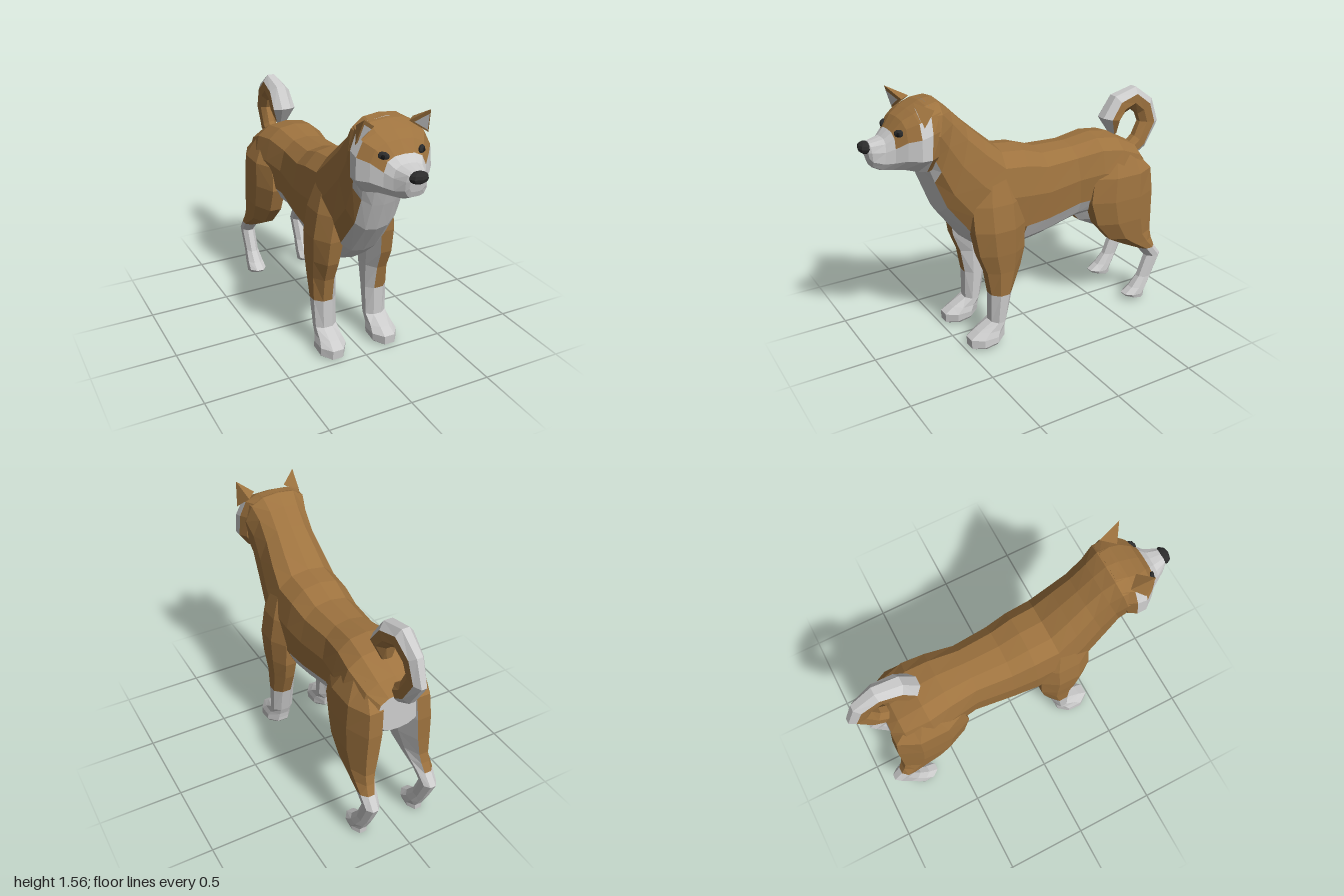
import * as THREE from 'three';

const mat = (color) => new THREE.MeshStandardMaterial({ color, flatShading: true, side: THREE.DoubleSide });
const FUR = mat(0x9e733f), PALE = mat(0xcccccc), DARK = mat(0x2c2c2c), BLACK = mat(0x161616);

function meshFrom(tris, material, name) {
  const g = new THREE.BufferGeometry();
  g.setAttribute('position', new THREE.Float32BufferAttribute(tris.flatMap((p) => p.toArray()), 3));
  g.computeVertexNormals();
  const m = new THREE.Mesh(g, material);
  m.name = name;
  return m;
}

// Skin a row of closed rings; isFur(section, side) picks the coat of each facet.
function loft(name, rings, isFur, capFur = [false, false]) {
  const n = rings[0].length, tris = [];
  const add = (a, b, c, fur) => tris.push({ p: [a, b, c], fur });
  for (let i = 0; i < rings.length - 1; i++) {
    for (let k = 0; k < n; k++) {
      const a = rings[i][k], b = rings[i][(k + 1) % n];
      const c = rings[i + 1][(k + 1) % n], d = rings[i + 1][k];
      const fur = isFur(i, k);
      add(a, b, c, fur);
      add(a, c, d, fur);
    }
  }
  [rings[0], rings[rings.length - 1]].forEach((ring, e) => {
    const mid = ring.reduce((s, p) => s.add(p), new THREE.Vector3()).divideScalar(n);
    for (let k = 0; k < n; k++) {
      const a = ring[k], b = ring[(k + 1) % n];
      if (e) add(a, b, mid, capFur[e]);
      else add(b, a, mid, capFur[e]);
    }
  });
  // turn all facets outward if the enclosed volume is negative
  const vol = tris.reduce((s, t) => s + t.p[0].dot(t.p[1].clone().cross(t.p[2])), 0);
  const group = new THREE.Group();
  group.name = name;
  for (const fur of [true, false]) {
    const pts = tris.filter((t) => t.fur === fur).flatMap((t) => (vol < 0 ? [t.p[0], t.p[2], t.p[1]] : t.p));
    if (pts.length) group.add(meshFrom(pts, fur ? FUR : PALE, name + (fur ? 'Coat' : 'Pale')));
  }
  return group;
}

// Half outlines of trunk and head: [width fraction, fraction from top to bottom]
const TRUNK = [[0, 0], [0.5, 0.03], [0.85, 0.15], [1, 0.42], [0.93, 0.73], [0.7, 0.89], [0.38, 0.98], [0, 1]];
const HEAD = [[0, 0], [0.45, 0.02], [0.8, 0.12], [0.97, 0.36], [1, 0.72], [0.74, 0.94], [0.4, 1], [0, 1]];
const fold = (k) => (k < 7 ? k : 13 - k);

// Section: top z, top y, bottom z, bottom y, half width
const crossSection = (outline) => ([tz, ty, bz, by, w]) => Array.from({ length: 14 }, (_, k) => {
  const [f, t] = outline[k <= 7 ? k : 14 - k];
  return new THREE.Vector3((k <= 7 ? 1 : -1) * f * w, ty + (by - ty) * t, tz + (bz - tz) * t);
});

// Leg section: y, centre x, centre z, half width, half depth, rise towards the front
function leg(name, side, sections, lowestFur) {
  const rings = sections.map(([y, x, z, rx, rz, rise = 0]) => Array.from({ length: 8 }, (_, j) => {
    const a = ((j + 0.5) * Math.PI) / 4, c = Math.cos(a) / 0.92, s = Math.sin(a) / 0.92;
    return new THREE.Vector3(side * (x + rx * c), y + rise * s, z + rz * s);
  }));
  return loft(name, rings, (i, j) => i < lowestFur && Math.cos(((j + 1) * Math.PI) / 4) > -0.1, [true, false]);
}

function tail() {
  // z, y, half width, half thickness along the curl
  const path = [[-0.76, 0.95, 0.05, 0.05], [-0.86, 1.015, 0.045, 0.06], [-0.925, 1.135, 0.04, 0.07],
    [-0.885, 1.24, 0.045, 0.068], [-0.79, 1.31, 0.055, 0.068], [-0.685, 1.28, 0.065, 0.068],
    [-0.625, 1.2, 0.072, 0.065], [-0.655, 1.1, 0.03, 0.02]];
  const rings = path.map(([z, y, w, r], i) => {
    const p = path[Math.max(i - 1, 0)], q = path[Math.min(i + 1, path.length - 1)];
    const len = Math.hypot(q[0] - p[0], q[1] - p[1]);
    const oz = -(q[1] - p[1]) / len, oy = (q[0] - p[0]) / len; // outward from the curl
    return Array.from({ length: 8 }, (_, j) => {
      const a = ((j + 0.5) * Math.PI) / 4, o = (r * Math.sin(a)) / 0.92;
      return new THREE.Vector3(-0.007 + (w * Math.cos(a)) / 0.92, y + oy * o, z + oz * o);
    });
  });
  return loft('tail', rings, (i, j) => Math.sin(((j + 1) * Math.PI) / 4) < 0.1, [true, true]);
}

function ear(side) {
  const v = (x, y, z) => new THREE.Vector3(side * x, y, z);
  const tip = v(0.19, 1.558, 0.757), inner = v(0.1, 1.495, 0.7), outer = v(0.212, 1.42, 0.71), back = v(0.165, 1.49, 0.63);
  const g = new THREE.Group();
  g.name = side > 0 ? 'leftEar' : 'rightEar';
  const flip = (t) => (side > 0 ? t : [t[0], t[2], t[1]]);
  g.add(meshFrom([[tip, outer, back], [tip, back, inner], [tip, inner, outer]].flatMap(flip), FUR, 'earShell'));
  // dark hollow, inset towards the outer edge of the front face
  const mid = tip.clone().add(inner).add(outer.clone().multiplyScalar(2)).divideScalar(4);
  const inset = [tip, inner, outer].map((p) => p.clone().lerp(mid, 0.3).add(new THREE.Vector3(0, 0, 0.006)));
  g.add(meshFrom(flip(inset), PALE, 'earHollow'));
  return g;
}

function ball(name, r, scale, pos, material) {
  const m = new THREE.Mesh(new THREE.SphereGeometry(r, 8, 6), material);
  m.name = name;
  m.scale.set(...scale);
  m.position.set(...pos);
  return m;
}

export function createModel() {
  const dog = new THREE.Group();
  dog.name = 'dog';

  // Trunk and neck, rump to nape
  const trunk = [
    [-0.81, 0.97, -0.815, 0.74, 0.14], [-0.75, 1.045, -0.73, 0.67, 0.2], [-0.6, 1.125, -0.56, 0.64, 0.225],
    [-0.46, 1.145, -0.44, 0.64, 0.205], [-0.28, 1.12, -0.32, 0.63, 0.178], [-0.07, 1.125, -0.07, 0.575, 0.198],
    [0.06, 1.17, 0.1, 0.55, 0.212], [0.2, 1.185, 0.32, 0.57, 0.215], [0.31, 1.28, 0.44, 0.67, 0.2],
    [0.41, 1.37, 0.58, 0.86, 0.18], [0.5, 1.46, 0.645, 1.03, 0.18], [0.57, 1.52, 0.68, 1.13, 0.2],
    [0.63, 1.515, 0.7, 1.15, 0.2],
  ].map(crossSection(TRUNK));
  dog.add(loft('trunk', trunk, (i, k) => fold(k) < (i < 6 || i > 9 ? 4 : 5)));

  // Head, tapering to the muzzle
  const head = [
    [0.58, 1.52, 0.65, 1.14, 0.195], [0.65, 1.51, 0.69, 1.14, 0.222], [0.72, 1.475, 0.74, 1.155, 0.222],
    [0.78, 1.44, 0.8, 1.17, 0.175], [0.83, 1.38, 0.85, 1.17, 0.125], [0.87, 1.345, 0.9, 1.175, 0.095],
    [0.945, 1.33, 0.94, 1.195, 0.062], [0.965, 1.315, 0.95, 1.225, 0.045],
  ].map(crossSection(HEAD));
  dog.add(loft('head', head, (i, k) => fold(k) < [5, 2, 3, 3, 0, 0, 0][i], [true, false]));
  dog.add(ball('nose', 0.05, [1.1, 0.65, 0.75], [0, 1.302, 0.962], DARK));

  for (const s of [1, -1]) {
    const side = s > 0 ? 'left' : 'right';
    dog.add(ear(s));
    const eye = ball(side + 'Eye', 0.031, [1.05, 0.75, 0.5], [s * 0.11, 1.378, 0.808], DARK);
    eye.rotation.y = s * 0.7;
    dog.add(eye);
    dog.add(ball(side + 'Pupil', 0.013, [1, 1, 0.8], [s * 0.114, 1.378, 0.816], BLACK));

    dog.add(leg(side + 'FrontLeg', s, [
      [1.08, 0.12, 0.27, 0.06, 0.09], [0.9, 0.135, 0.27, 0.1, 0.16], [0.75, 0.162, 0.27, 0.098, 0.16],
      [0.6, 0.172, 0.26, 0.083, 0.145], [0.48, 0.172, 0.25, 0.073, 0.108], [0.33, 0.17, 0.265, 0.07, 0.068],
      [0.15, 0.168, 0.285, 0.066, 0.05], [0.105, 0.17, 0.335, 0.07, 0.085], [0.07, 0.172, 0.365, 0.08, 0.11],
      [0.03, 0.175, 0.365, 0.08, 0.108, -0.015], [0.015, 0.175, 0.36, 0.07, 0.088, -0.013],
    ], 5));

    dog.add(leg(side + 'HindLeg', s, [
      [1.03, 0.12, -0.6, 0.06, 0.1], [0.9, 0.145, -0.605, 0.1, 0.21], [0.75, 0.155, -0.6, 0.1, 0.228],
      [0.6, 0.165, -0.62, 0.09, 0.205], [0.48, 0.175, -0.67, 0.07, 0.155], [0.42, 0.18, -0.735, 0.06, 0.105],
      [0.36, 0.187, -0.81, 0.05, 0.055], [0.29, 0.19, -0.868, 0.042, 0.053], [0.15, 0.19, -0.81, 0.04, 0.05],
      [0.085, 0.19, -0.765, 0.05, 0.06], [0.045, 0.19, -0.725, 0.055, 0.075, 0.005],
      [0.02, 0.19, -0.73, 0.05, 0.07, 0.016],
    ], 6));
  }

  dog.add(tail());
  return dog;
}
